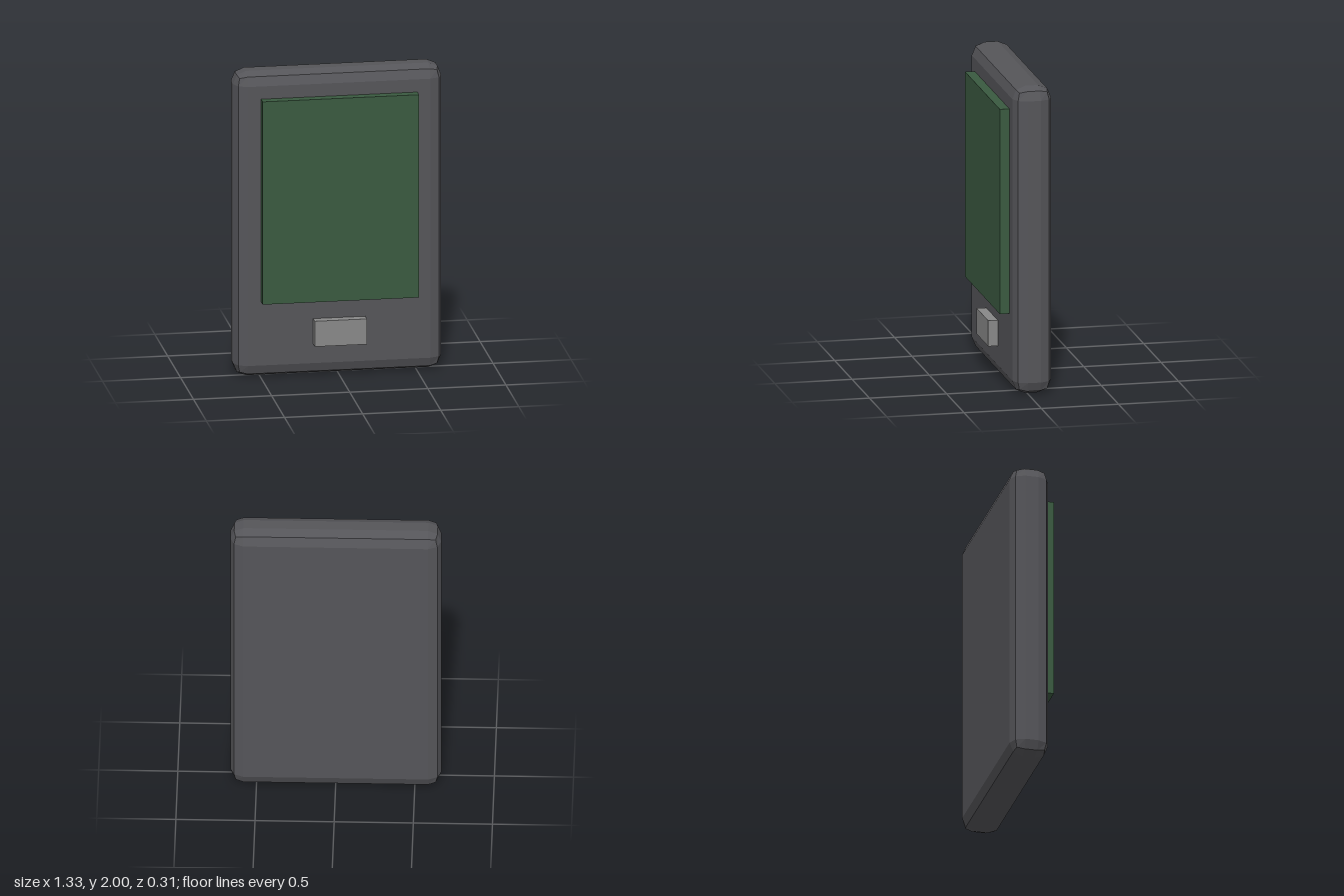
import * as THREE from 'three';

// Box whose edges are rounded by two flat facets and whose corners are faceted sphere patches
function facetedBox(width, height, depth, radius) {
  const geometry = new THREE.BoxGeometry(1, 1, 1, 3, 3, 3);
  const core = new THREE.Vector3(width, height, depth).multiplyScalar(0.5).subScalar(radius);
  const p = geometry.attributes.position;
  const v = new THREE.Vector3();
  const outward = (c) => (Math.abs(c) > 0.4 ? Math.sign(c) : 0);
  for (let i = 0; i < p.count; i++) {
    v.fromBufferAttribute(p, i);
    const dir = new THREE.Vector3(outward(v.x), outward(v.y), outward(v.z));
    dir.normalize().multiplyScalar(radius);
    v.set(Math.sign(v.x), Math.sign(v.y), Math.sign(v.z)).multiply(core).add(dir);
    p.setXYZ(i, v.x, v.y, v.z);
  }
  geometry.computeVertexNormals();
  return geometry;
}

export function createModel() {
  const group = new THREE.Group();
  const add = (name, geometry, color, y, z) => {
    const material = new THREE.MeshStandardMaterial({ color, flatShading: true });
    const mesh = new THREE.Mesh(geometry, material);
    mesh.name = name;
    mesh.position.set(0, y, z);
    group.add(mesh);
  };

  // Slab case
  add('body', facetedBox(1.333, 2, 0.25, 0.083), 0x555559, 1, -0.031);

  // Raised screen and button, slightly sunk into the case
  add('screen', new THREE.BoxGeometry(1, 1.333, 0.083), 0x3a5a40, 1.167, 0.1145);
  add('button', new THREE.BoxGeometry(0.333, 0.167, 0.083), 0x888888, 0.292, 0.1145);

  return group;
}
